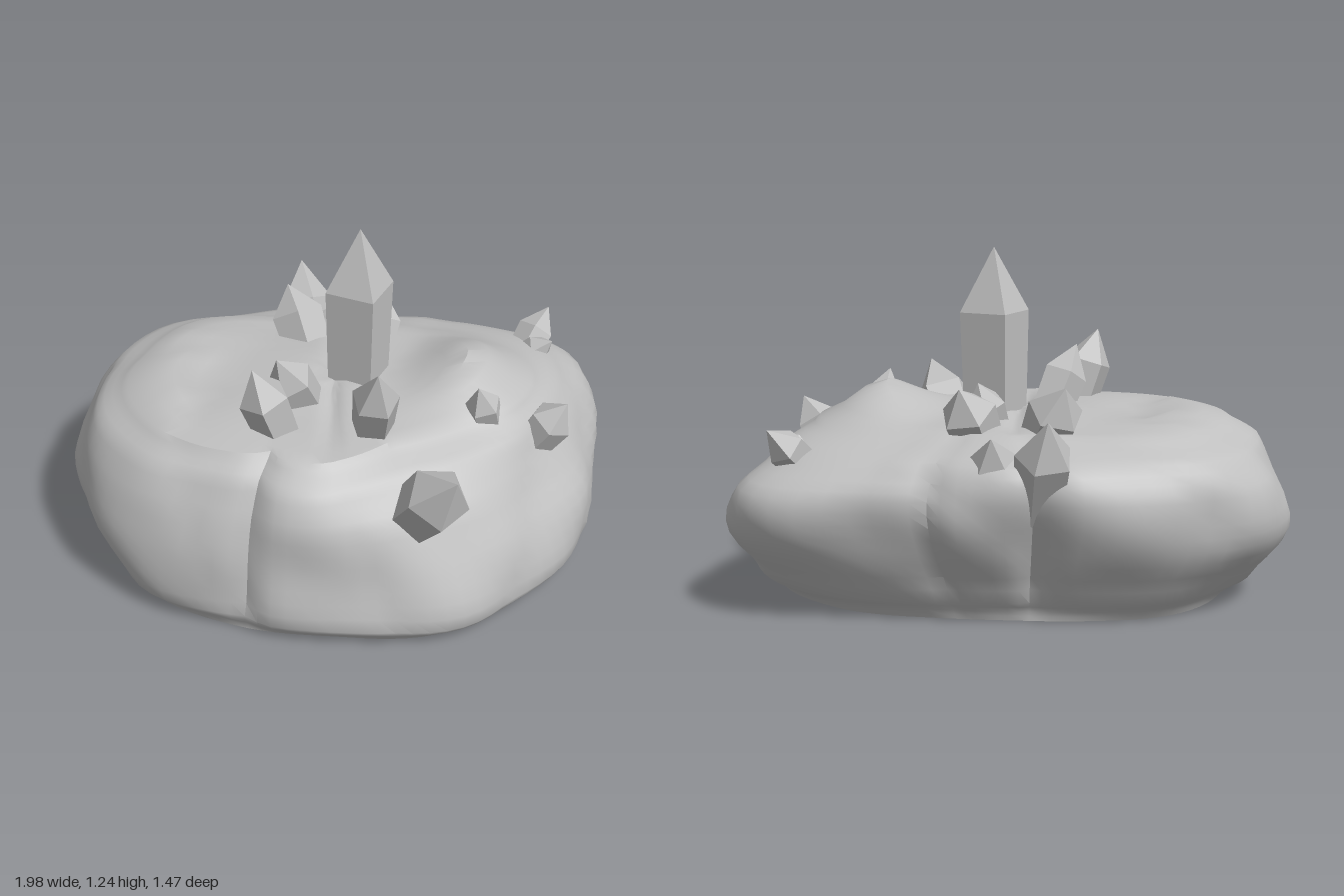
import * as THREE from 'three';
import { toCreasedNormals } from 'three/addons/utils/BufferGeometryUtils.js';

// Rock outline: height, then radii every 30 degrees from +x towards +z
const RINGS = [
  [0.0, [0.88, 0.80, 0.73, 0.65, 0.69, 0.78, 0.75, 0.68, 0.53, 0.47, 0.53, 0.72]],
  [0.07, [0.95, 0.85, 0.79, 0.71, 0.74, 0.84, 0.85, 0.76, 0.58, 0.52, 0.58, 0.82]],
  [0.27, [0.97, 0.82, 0.74, 0.68, 0.71, 0.88, 0.97, 0.93, 0.70, 0.64, 0.70, 1.02]],
  [0.45, [0.86, 0.71, 0.65, 0.66, 0.67, 0.84, 0.93, 0.94, 0.75, 0.70, 0.76, 1.03]],
  [0.57, [0.79, 0.62, 0.55, 0.59, 0.61, 0.78, 0.86, 0.86, 0.70, 0.65, 0.68, 0.84]],
  [0.64, [0.72, 0.50, 0.43, 0.50, 0.52, 0.68, 0.73, 0.70, 0.55, 0.46, 0.45, 0.62]],
];
const SEGMENTS = 84, STEPS = 4, CAP_STEPS = 9;

const bump = (d, width) => Math.exp(-((d / width) ** 2));

function spline(a, b, c, d, t) {
  return b + 0.5 * t * (c - a + t * (2 * a - 5 * b + 4 * c - d + t * (3 * (b - c) + d - a)));
}

function ringRadius(ring, angle) {
  const u = (angle / (Math.PI * 2)) * 12, i = Math.floor(u), r = RINGS[ring][1];
  const at = (k) => r[(k + 12) % 12];
  return spline(at(i - 1), at(i), at(i + 1), at(i + 2), u - i);
}

// Chiselled lumps: folded waves give soft mounds with sharp valleys
function lumps(x, y, z) {
  const a = Math.abs(Math.sin(5.1 * x + 2.3 * y + 1.7 * z + 0.6));
  const b = Math.abs(Math.sin(-3.2 * x + 4.9 * y + 5.3 * z + 1.9));
  const c = Math.sin(11 * x + 3) * Math.sin(12 * y + 1) * Math.sin(10 * z + 2);
  return 0.022 * (a + b - 1.27) + 0.014 * c;
}

// Height of the top surface: right hump, raised left lobe and a shallow central groove
function topRelief(x, z) {
  const hump = 0.11 * bump(x - 0.53, 0.19) * bump(z + 0.03, 0.28);
  const lobe = 0.035 * THREE.MathUtils.smoothstep(-x, 0.5, 0.56);
  const groove = -0.018 * bump(x + 0.01, 0.03);
  return hump + lobe + groove;
}

function rockGeometry() {
  const positions = [], index = [];
  let rows = 0;
  const addRow = (pointAt) => {
    for (let i = 0; i < SEGMENTS; i++) positions.push(...pointAt((i / SEGMENTS) * Math.PI * 2));
    rows++;
  };

  // Flat underside
  for (const s of [0, 0.5]) {
    addRow((a) => [Math.cos(a) * s * ringRadius(0, a), 0, Math.sin(a) * s * ringRadius(0, a)]);
  }
  // Sides
  const last = RINGS.length - 1;
  for (let k = 0; k <= last * STEPS; k++) {
    const j = Math.min(Math.floor(k / STEPS), last - 1), t = k / STEPS - j;
    const y = THREE.MathUtils.lerp(RINGS[j][0], RINGS[j + 1][0], t);
    addRow((a) => {
      let r = spline(ringRadius(Math.max(j - 1, 0), a), ringRadius(j, a),
        ringRadius(j + 1, a), ringRadius(Math.min(j + 2, last), a), t);
      r += lumps(r * Math.cos(a), y, r * Math.sin(a)) * Math.min(1, y / 0.1);
      // Gullies down the front and back
      const g = Math.min(1, y / 0.15);
      r -= g * (0.04 * bump(a - 2.02, 0.07) + 0.04 * bump(a - 4.55, 0.08) + 0.03 * bump(a - 5.1, 0.07));
      return [r * Math.cos(a), y, r * Math.sin(a)];
    });
  }
  // Domed top
  for (let k = 1; k <= CAP_STEPS; k++) {
    const s = 1 - k / CAP_STEPS;
    addRow((a) => {
      let r = ringRadius(last, a);
      r = (r + lumps(r * Math.cos(a), 0.64, r * Math.sin(a))) * s;
      const x = r * Math.cos(a), z = r * Math.sin(a);
      const relief = topRelief(x, z) + 0.5 * lumps(x, 0.64, z);
      return [x, 0.64 + 0.025 * (1 - s * s) + relief * Math.min(1, (1 - s) * 3.5), z];
    });
  }

  for (let j = 0; j < rows - 1; j++) {
    for (let i = 0; i < SEGMENTS; i++) {
      const n = (i + 1) % SEGMENTS, a = j * SEGMENTS + i, b = j * SEGMENTS + n;
      if (j < rows - 2) index.push(a, a + SEGMENTS, b + SEGMENTS);
      if (j > 0) index.push(a, b + SEGMENTS, b);
      if (j === rows - 2) index.push(a, a + SEGMENTS, b);
    }
  }
  const geometry = new THREE.BufferGeometry();
  geometry.setAttribute('position', new THREE.Float32BufferAttribute(positions, 3));
  geometry.setIndex(index);
  return toCreasedNormals(geometry, 0.65);
}

// Faceted prism with a pointed end, running from base to tip
function crystal(name, material, base, tip, radius, sides, shoulder, twist) {
  const from = new THREE.Vector3(...base), axis = new THREE.Vector3(...tip).sub(from);
  const height = axis.length();
  const profile = [[0, 0], [radius * 0.88, 0], [radius, height * shoulder], [0, height]];
  const lathe = new THREE.LatheGeometry(profile.map((p) => new THREE.Vector2(...p)), sides);
  lathe.rotateY(twist);
  const mesh = new THREE.Mesh(toCreasedNormals(lathe, 0.1), material);
  mesh.name = name;
  mesh.position.copy(from);
  mesh.quaternion.setFromUnitVectors(new THREE.Vector3(0, 1, 0), axis.normalize());
  return mesh;
}

export function createModel() {
  const model = new THREE.Group();
  model.name = 'crystalRock';
  const stone = new THREE.MeshStandardMaterial({ color: 0xc0c0c0 });
  stone.name = 'paleGreyStone';

  const rock = new THREE.Mesh(rockGeometry(), stone);
  rock.name = 'rock';
  model.add(rock);

  // Tall central crystal
  model.add(crystal('mainCrystal', stone, [0.08, 0.5, -0.04], [0.085, 1.24, -0.04], 0.128, 4, 0.69, 0.38));

  // Small crystals: base, tip, radius
  const cluster = new THREE.Group();
  cluster.name = 'smallCrystals';
  const small = [
    [[-0.18, 0.58, 0.29], [-0.275, 0.9, 0.34], 0.09],
    [[-0.09, 0.58, 0.09], [-0.2, 0.86, 0.21], 0.085],
    [[0.13, 0.58, 0.26], [0.15, 0.94, 0.43], 0.085],
    [[-0.1, 0.56, -0.28], [-0.19, 0.8, -0.43], 0.1],
    [[0.11, 0.56, -0.29], [0.17, 0.79, -0.42], 0.1],
    [[0.07, 0.58, -0.19], [0.12, 0.79, -0.28], 0.075],
    [[-0.11, 0.4, -0.54], [-0.15, 0.74, -0.73], 0.1],
    [[0.03, 0.42, -0.5], [0.04, 0.67, -0.66], 0.09],
    [[0.68, 0.48, -0.37], [0.81, 0.66, -0.52], 0.07],
    [[0.69, 0.5, -0.4], [0.81, 0.62, -0.33], 0.055],
    [[0.26, 0.39, 0.48], [0.41, 0.72, 0.73], 0.115],
    [[0.69, 0.44, 0.11], [0.82, 0.66, 0.16], 0.08],
    [[0.55, 0.54, 0.15], [0.5, 0.76, 0.22], 0.065],
  ];
  small.forEach(([base, tip, radius], i) => {
    cluster.add(crystal(`smallCrystal${i + 1}`, stone, base, tip, radius, 5, 0.62, i * 0.9));
  });
  model.add(cluster);
  return model;
}
